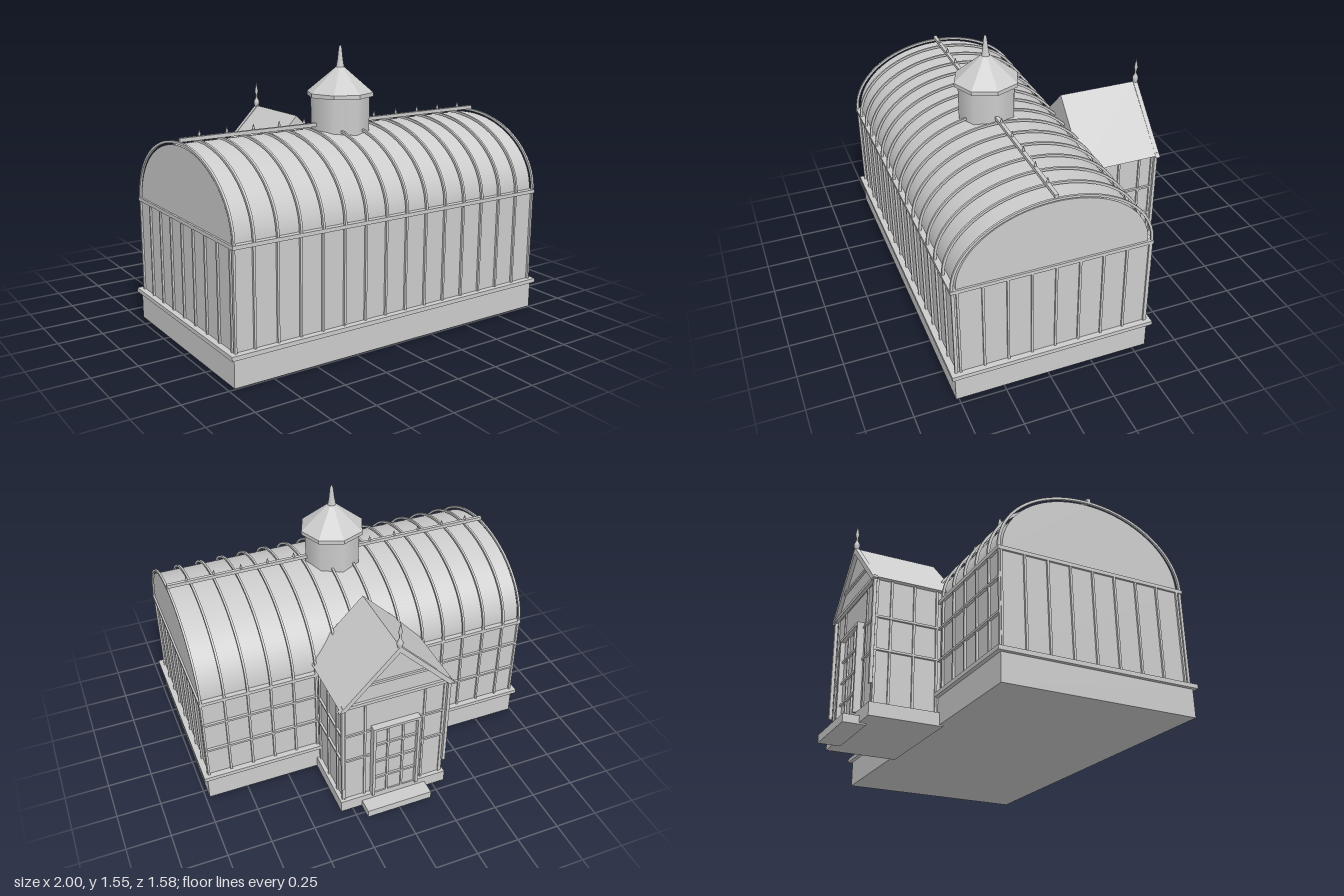
import * as THREE from 'three';
import { toCreasedNormals } from 'three/addons/utils/BufferGeometryUtils.js';

export function createModel() {
  const root = new THREE.Group();
  root.name = 'greenhouse';
  const paint = new THREE.MeshStandardMaterial({ color: 0xcccccc });
  paint.name = 'pale grey';

  const group = (name) => {
    const g = new THREE.Group();
    g.name = name;
    root.add(g);
    return g;
  };
  const add = (parent, name, geo) => {
    const m = new THREE.Mesh(geo, paint);
    m.name = name;
    parent.add(m);
    return m;
  };
  // Box given by its limits on each axis
  const box = (parent, name, x0, x1, y0, y1, z0, z1) => {
    const m = add(parent, name, new THREE.BoxGeometry(x1 - x0, y1 - y0, z1 - z0));
    m.position.set((x0 + x1) / 2, (y0 + y1) / 2, (z0 + z1) / 2);
    return m;
  };
  const lathe = (parent, name, pts, sides, x, y, z) => {
    const g = new THREE.LatheGeometry(pts.map(([r, h]) => new THREE.Vector2(r, h)), sides);
    const m = add(parent, name, g);
    m.position.set(x, y, z);
    return m;
  };

  const midZ = 0.223; // centre line of the hall
  const springY = 0.72; // foot of the vault
  const t = 0.006; // half width of a glazing bar

  // Hall: plinth, sill, glazed walls, cornice
  const hall = group('hall');
  box(hall, 'plinth', -0.98, 0.98, 0.015, 0.165, -0.32, 0.77);
  box(hall, 'sill', -1, 1, 0.165, 0.188, -0.343, 0.789);
  box(hall, 'wallGlass', -0.966, 0.966, 0.188, 0.705, -0.308, 0.754);
  box(hall, 'cornice', -0.977, 0.977, 0.702, 0.722, -0.323, 0.772);

  // Vaulted roof: a half ellipse run along the hall
  const vault = new THREE.Shape();
  vault.absellipse(0, 0, 0.518, 0.376, 0, Math.PI, false);
  const vaultGeo = new THREE.ExtrudeGeometry(vault, { depth: 1.932, bevelEnabled: false, curveSegments: 32 });
  vaultGeo.translate(0, 0, -0.966).rotateY(Math.PI / 2);
  add(hall, 'roofGlass', toCreasedNormals(vaultGeo, 0.5)).position.set(0, springY, midZ);

  // Roof ribs and the wall bars below them
  const ribShape = new THREE.Shape();
  ribShape.absellipse(0, 0, 0.546, 0.398, 0, Math.PI, false);
  ribShape.absellipse(0, 0, 0.532, 0.385, Math.PI, 0, true);
  const ribGeo = new THREE.ExtrudeGeometry(ribShape, { depth: 2 * t, bevelEnabled: false, curveSegments: 20 });
  ribGeo.translate(0, 0, -t).rotateY(Math.PI / 2);
  const bars = group('glazingBars');
  const stations = [-0.966];
  for (let i = 0; i < 15; i++) stations.push(-0.859 + i * 0.1304);
  for (const x of stations) {
    add(bars, 'roofRib', ribGeo).position.set(x, springY, midZ);
    box(bars, 'frontBar', x - t, x + t, 0.185, 0.705, 0.75, 0.766);
    box(bars, 'backBar', x - t, x + t, 0.185, 0.705, -0.32, -0.304);
  }
  for (const s of [-1, 1]) {
    for (let i = 0; i < 9; i++) {
      const z = 0.735 - i * 0.13;
      box(bars, 'endBar', s * 0.968 - 0.008, s * 0.968 + 0.008, 0.185, 0.705, z - t, z + t);
    }
  }
  const railHeights = [0.372, 0.555];
  for (const y of railHeights) box(bars, 'backRail', -0.972, 0.972, y - t, y + t, -0.323, -0.305);

  // Ridge rail with small spikes
  const ridge = group('ridge');
  box(ridge, 'ridgeRail', -0.97, 0.97, 1.118, 1.138, midZ - 0.01, midZ + 0.01);
  for (let i = 0; i < 5; i++) {
    for (const s of [-1, 1]) {
      lathe(ridge, 'ridgeSpike', [[0.004, 0], [0.008, 0.012], [0, 0.037]], 6, s * (0.235 + i * 0.156), 1.135, midZ);
    }
  }

  // Octagonal lantern on the ridge
  const lantern = group('lantern');
  const octagon = (name, rTop, rBottom, y0, y1, flat) => {
    let g = new THREE.CylinderGeometry(rTop, rBottom, y1 - y0, 8);
    if (flat) g = toCreasedNormals(g, 0.1);
    add(lantern, name, g).position.set(0, (y0 + y1) / 2, midZ);
  };
  octagon('lanternDrum', 0.164, 0.164, 1.04, 1.28, false);
  octagon('lanternEave', 0.185, 0.185, 1.275, 1.297, true);
  octagon('lanternRoof', 0.024, 0.185, 1.297, 1.432, true);
  lathe(lantern, 'lanternSpire', [[0.024, 0], [0.016, 0.045], [0.01, 0.1], [0.006, 0.118], [0, 0.122]], 10, 0, 1.428, midZ);

  // Porch at the back: base, step, glazed walls
  const porch = group('porch');
  box(porch, 'porchBase', -0.322, 0.322, 0.008, 0.08, -0.702, -0.3);
  box(porch, 'step', -0.195, 0.195, 0, 0.045, -0.79, -0.665);
  box(porch, 'porchGlass', -0.298, 0.298, 0.08, 0.775, -0.678, -0.28);

  // Porch gable roof
  const gable = new THREE.Shape();
  gable.moveTo(-0.328, 0.77).lineTo(0.328, 0.77).lineTo(0, 1.1).closePath();
  const gableGeo = new THREE.ExtrudeGeometry(gable, { depth: 0.465, bevelEnabled: false });
  add(porch, 'porchRoof', gableGeo).position.z = -0.69;

  // Bargeboards and bars of the gable end
  const board = new THREE.Shape();
  board.moveTo(-0.336, 0.762).lineTo(-0.3, 0.762).lineTo(0, 1.066).lineTo(0.3, 0.762);
  board.lineTo(0.336, 0.762).lineTo(0, 1.106).closePath();
  const boardGeo = new THREE.ExtrudeGeometry(board, { depth: 0.026, bevelEnabled: false });
  add(porch, 'bargeboards', boardGeo).position.z = -0.713;
  box(porch, 'gableTie', -0.315, 0.315, 0.765, 0.785, -0.705, -0.685);
  box(porch, 'gableBar', -0.19, 0.19, 0.885, 0.9, -0.702, -0.685);
  lathe(porch, 'gableFinial', [[0.012, 0], [0.018, 0.022], [0.016, 0.035], [0.006, 0.055],
    [0.006, 0.075], [0.011, 0.095], [0.006, 0.125], [0, 0.155]], 10, 0, 1.095, -0.702);

  // Porch glazing bars, rails and corner posts
  for (const s of [-1, 1]) {
    box(porch, 'cornerPost', s * 0.309 - 0.009, s * 0.309 + 0.009, 0.18, 0.77, -0.704, -0.686);
    for (const z of [-0.335, -0.465, -0.595, -0.676]) {
      box(porch, 'sideBar', s * 0.3 - 0.008, s * 0.3 + 0.008, 0.08, 0.775, z - t, z + t);
    }
    for (const x of [0.175, 0.292]) {
      box(porch, 'porchEndBar', s * x - t, s * x + t, 0.08, 0.775, -0.686, -0.67);
    }
    for (const y of railHeights) {
      box(porch, 'sideRail', s * 0.302 - 0.009, s * 0.302 + 0.009, y - t, y + t, -0.684, -0.31);
      box(porch, 'porchEndRail', s * 0.222 - 0.08, s * 0.222 + 0.08, y - t, y + t, -0.688, -0.672);
    }
  }

  // Door: frame, leaf and pane bars
  const door = group('door');
  box(door, 'doorLeaf', -0.13, 0.13, 0.08, 0.575, -0.694, -0.67);
  box(door, 'doorHead', -0.14, 0.14, 0.568, 0.584, -0.72, -0.68);
  for (const s of [-1, 1]) {
    box(door, 'doorJamb', s * 0.132 - 0.008, s * 0.132 + 0.008, 0.08, 0.575, -0.72, -0.68);
    box(door, 'doorBar', s * 0.045 - t, s * 0.045 + t, 0.08, 0.57, -0.704, -0.69);
  }
  for (const y of [0.2, 0.325, 0.45]) box(door, 'doorRail', -0.13, 0.13, y - t, y + t, -0.706, -0.69);

  return root;
}
